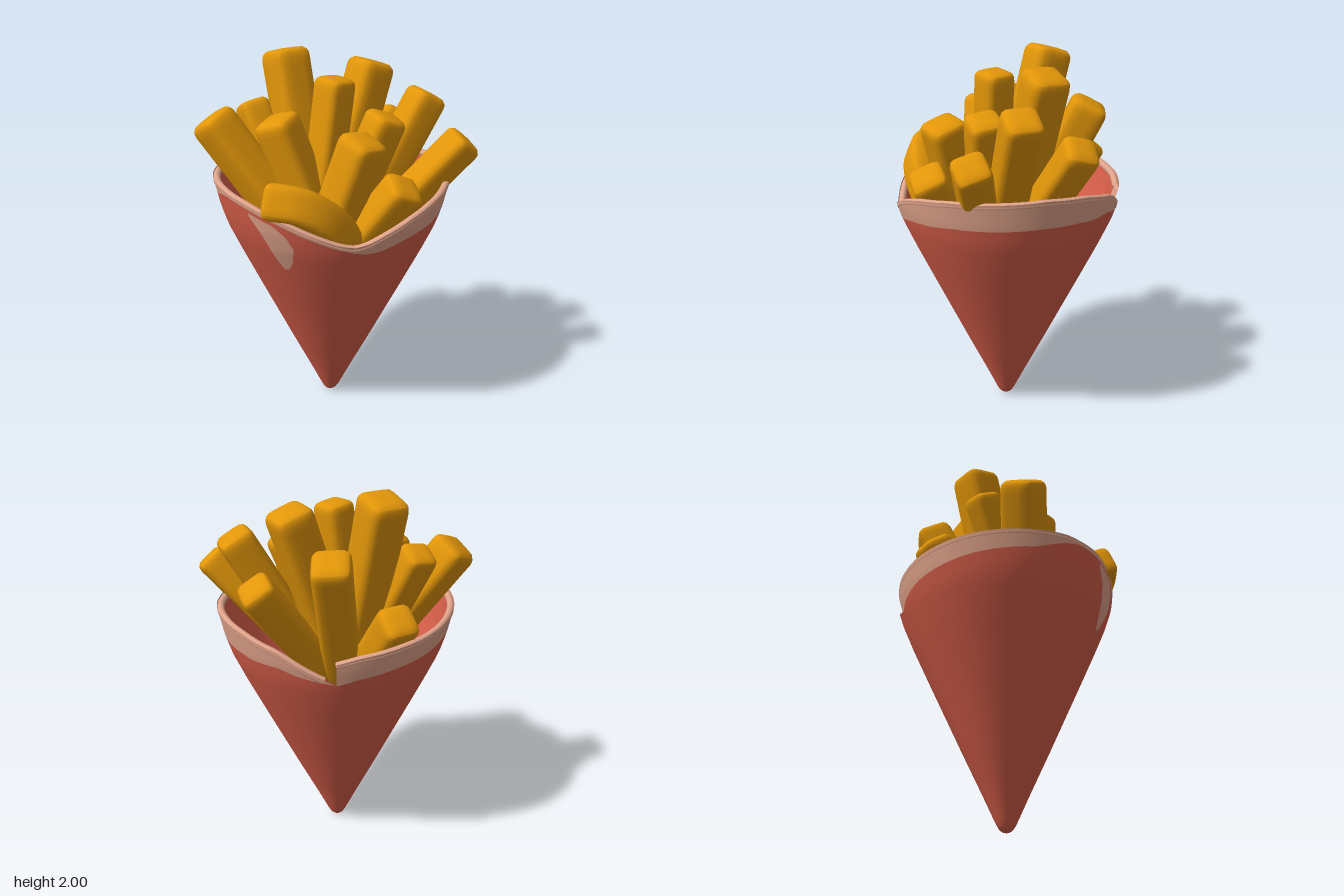
import * as THREE from 'three';
import { mergeVertices } from 'three/addons/utils/BufferGeometryUtils.js';

const paint = (name, color, side = THREE.FrontSide) => {
  const m = new THREE.MeshStandardMaterial({ color, side });
  m.name = name;
  return m;
};

// Linear lookup in a short list of [key, value] pairs
function lookup(table, k) {
  if (k <= table[0][0]) return table[0][1];
  for (let i = 1; i < table.length; i++) {
    const [k0, v0] = table[i - 1], [k1, v1] = table[i];
    if (k <= k1) return v0 + (v1 - v0) * (k - k0) / (k1 - k0);
  }
  return table[table.length - 1][1];
}

// Cone radius by height
const PROFILE = [[0, 0], [0.004, 0.02], [0.016, 0.035], [0.04, 0.05], [0.2, 0.124], [0.4, 0.219],
  [0.8, 0.405], [1.0, 0.497], [1.15, 0.562], [1.25, 0.592], [1.4, 0.623]];
// Rim height and pale band width by angle in degrees (0 = +x, 90 = +z); the paper ends overlap at the back
const START = -82, END = 290;
const RIM = [[-82, 1.14], [-72, 1.165], [-60, 1.225], [-42, 1.325], [-20, 1.375], [0, 1.39], [45, 1.37],
  [62, 1.345], [75, 1.31], [90, 1.25], [97, 1.215], [104, 1.2], [112, 1.215], [125, 1.27], [142, 1.34],
  [160, 1.385], [180, 1.4], [225, 1.375], [260, 1.345], [280, 1.32], [290, 1.29]];
const BAND = [[-70, 0], [-50, 0.07], [-25, 0.13], [0, 0.145], [60, 0.135], [90, 0.09], [104, 0.035],
  [115, 0.015], [170, 0.015], [195, 0.09], [240, 0.11], [290, 0.13]];
const rim = (a) => lookup(RIM, a);
const bandFoot = (a) => rim(a) - lookup(BAND, a);
// The first end of the paper lies over the last one
const overlap = (a) => lookup([[-70, 0.014], [-45, 0]], a);

function onCone(deg, y, offset = 0) {
  const lift = overlap(deg) * Math.min(1, y);
  const r = Math.max(0, lookup(PROFILE, y) + offset + lift), a = THREE.MathUtils.degToRad(deg);
  return new THREE.Vector3(r * Math.cos(a) + 0.008 * Math.min(1, y), y, r * Math.sin(a));
}

// Sheet on the cone between two height functions of the angle
function sheet(low, high, { from = START, to = END, offset = 0, cols = 124, rows = 6, power = 1 } = {}) {
  const pos = [], idx = [];
  for (let j = 0; j <= rows; j++) {
    for (let i = 0; i <= cols; i++) {
      const deg = from + (to - from) * i / cols;
      const y = THREE.MathUtils.lerp(low(deg), high(deg), (j / rows) ** power);
      pos.push(...onCone(deg, y, offset).toArray());
      if (i < cols && j < rows) {
        const a = j * (cols + 1) + i, b = a + 1, c = a + cols + 1, d = c + 1;
        idx.push(a, c, b, b, c, d);
      }
    }
  }
  const g = new THREE.BufferGeometry();
  g.setAttribute('position', new THREE.Float32BufferAttribute(pos, 3));
  g.setIndex(idx);
  g.computeVertexNormals();
  return g;
}

// Square rod with rounded edges, swept from the tip along a curve
function fryGeometry(curve, width, twist) {
  const length = curve.getLength(), h = width / 2, r = width * 0.24;
  let g = new THREE.BoxGeometry(width, 1, width, 6, 18, 6);
  g.deleteAttribute('normal');
  g.deleteAttribute('uv');
  g = mergeVertices(g);
  const p = g.attributes.position, v = new THREE.Vector3(), q = new THREE.Vector3();
  const up = new THREE.Vector3(), X = new THREE.Vector3(), Z = new THREE.Vector3();
  const front = new THREE.Vector3(0, 0, 1);
  for (let i = 0; i < p.count; i++) {
    v.fromBufferAttribute(p, i);
    v.y = length * Math.max(0, 0.5 - v.y) ** 1.7;
    q.set(THREE.MathUtils.clamp(v.x, r - h, h - r), THREE.MathUtils.clamp(v.y, r, length - r),
      THREE.MathUtils.clamp(v.z, r - h, h - r));
    v.sub(q).setLength(r).add(q);
    const t = THREE.MathUtils.clamp(v.y / length, 0, 1);
    up.copy(curve.getTangentAt(t)).negate();
    X.crossVectors(up, front).normalize();
    Z.crossVectors(X, up);
    const c = Math.cos(twist), s = Math.sin(twist);
    const lx = v.x * c + v.z * s, lz = v.z * c - v.x * s;
    q.copy(curve.getPointAt(t)).addScaledVector(X, lx).addScaledVector(Z, lz);
    p.setXYZ(i, q.x, q.y, q.z);
  }
  g.computeVertexNormals();
  return g;
}

export function createModel() {
  const red = paint('red paper', 0xd85f4a, THREE.DoubleSide);
  const pale = paint('pale paper edge', 0xe2a58c, THREE.DoubleSide);
  const gold = paint('golden potato', 0xe29609);
  const model = new THREE.Group();
  model.name = 'friesInPaperCone';
  const add = (name, geometry, material, parent = model) => {
    const m = new THREE.Mesh(geometry, material);
    m.name = name;
    parent.add(m);
  };

  // Paper cone: outer wall, pale band, inner wall and rolled rim
  add('coneOuterWall', sheet(() => 0, bandFoot, { rows: 40, power: 1.6 }), red);
  add('coneEdgeBand', sheet(bandFoot, rim, { from: -70 }), pale);
  add('coneInnerWall', sheet(() => 0.1, (a) => rim(a) - 0.01, { from: -70, offset: -0.028, rows: 16 }), red);
  const rimPoints = [];
  for (let a = -64; a <= END; a += 6) rimPoints.push(onCone(a, rim(a) - 0.014, -0.017));
  add('coneRim', new THREE.TubeGeometry(new THREE.CatmullRomCurve3(rimPoints), 160, 0.019, 8), pale);

  // Pale smear on the front of the cone
  const smearLow = [[134, 1.17], [136, 1.09], [139, 1.04], [142, 1.035], [145, 1.09], [148, 1.18],
    [151, 1.25], [156, 1.32]];
  const smearHigh = [[134, 1.18], [137, 1.25], [143, 1.3], [156, 1.34]];
  add('coneSmear', sheet((a) => lookup(smearLow, a), (a) => lookup(smearHigh, a),
    { from: 134, to: 156, offset: 0.004, cols: 22, rows: 8 }), pale);

  // Fries: tip x, y, z, then foot x, z at the foot height, width and twist in degrees
  const FOOT = 0.92;
  const fries = [
    [-0.13, 1.98, -0.285, -0.08, 0.0, 0.21, 10],
    [0.0, 1.89, 0.06, -0.12, 0.05, 0.168, 20],
    [0.295, 1.915, -0.11, -0.04, -0.03, 0.205, 8],
    [0.525, 1.765, 0.09, 0.04, 0.06, 0.185, 0],
    [0.595, 1.58, 0.36, 0.04, 0.13, 0.17, 8],
    [-0.31, 1.71, 0.01, -0.04, 0.13, 0.195, 38],
    [0.23, 1.705, 0.185, -0.06, 0.08, 0.18, 5],
    [-0.57, 1.685, -0.23, -0.11, 0.06, 0.2, 28],
    [0.51, 1.595, -0.22, 0.03, -0.04, 0.175, -8],
    [0.18, 1.74, -0.4, -0.02, -0.05, 0.195, -25],
    [-0.12, 1.46, -0.535, -0.09, -0.1, 0.18, 8],
    [-0.31, 1.71, -0.335, -0.15, 0.06, 0.16, 8],
    [0.02, 1.655, 0.345, -0.15, 0.16, 0.2, 18],
    [0.185, 1.435, 0.475, -0.04, 0.2, 0.185, 0],
  ];
  const bundle = new THREE.Group();
  bundle.name = 'fries';
  model.add(bundle);
  for (const [x, y, z, fx, fz, w, twist] of fries) {
    const curve = new THREE.LineCurve3(new THREE.Vector3(x, y, z), new THREE.Vector3(fx, FOOT, fz));
    add('fry', fryGeometry(curve, w, THREE.MathUtils.degToRad(twist)), gold, bundle);
  }

  // One fry droops over the front edge
  const bend = new THREE.CatmullRomCurve3([[-0.49, 1.405, 0.29], [-0.35, 1.38, 0.37], [-0.21, 1.28, 0.39],
    [-0.1, 1.14, 0.34], [-0.04, 0.98, 0.26]].map((p) => new THREE.Vector3(...p)));
  add('bentFry', fryGeometry(bend, 0.18, 0.3), gold, bundle);

  return model;
}
